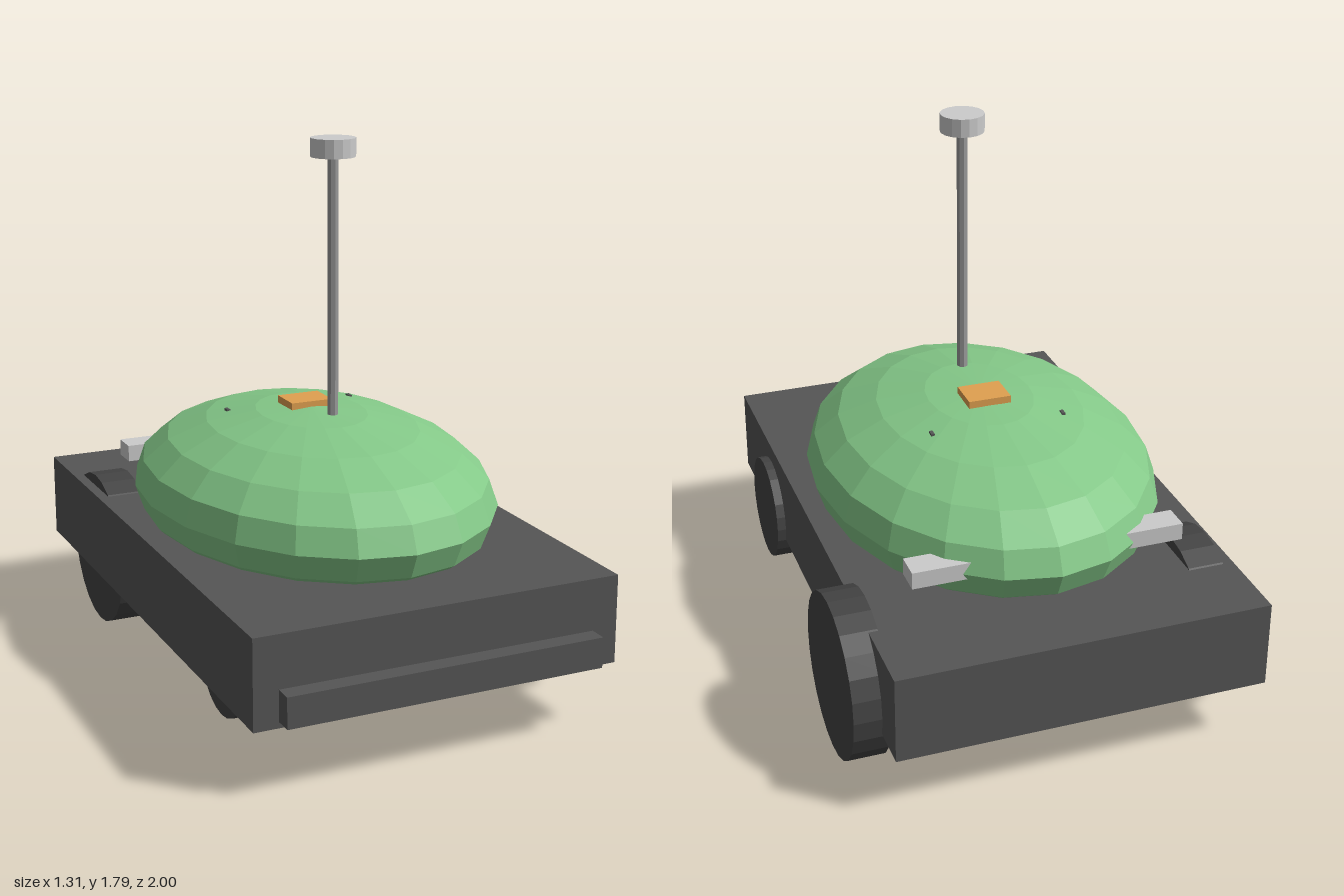
import * as THREE from 'three';

const mat = (color) => new THREE.MeshStandardMaterial({ color, flatShading: true });

export function createModel() {
  const model = new THREE.Group();
  model.name = 'wheeledRobot';

  const bodyMat = mat(0x555555);
  const wheelMat = mat(0x444444);
  const shellMat = mat(0x84c888);
  const orangeMat = mat(0xe0a050);
  const poleMat = mat(0x999999);
  const greyMat = mat(0xcccccc);

  const add = (name, geometry, material) => {
    const mesh = new THREE.Mesh(geometry, material);
    mesh.name = name;
    model.add(mesh);
    return mesh;
  };

  // Box given by its lower and upper limits on each axis
  const box = (name, [x0, x1], [y0, y1], [z0, z1], material) => {
    const mesh = add(name, new THREE.BoxGeometry(x1 - x0, y1 - y0, z1 - z0), material);
    mesh.position.set((x0 + x1) / 2, (y0 + y1) / 2, (z0 + z1) / 2);
    return mesh;
  };

  // Wheel with its axle along x
  const wheel = (name, [x0, x1], y, z, radius) => {
    const geometry = new THREE.CylinderGeometry(radius, radius, x1 - x0, 24);
    geometry.rotateZ(Math.PI / 2);
    add(name, geometry, wheelMat).position.set((x0 + x1) / 2, y, z);
  };

  // Chassis and front bumper
  box('chassis', [-0.655, 0.565], [0.21, 0.5], [-1, 0.94], bodyMat);
  box('frontBumper', [-0.575, 0.48], [0.23, 0.33], [0.92, 1], bodyMat);

  // Large rear wheels, small front wheels
  wheel('rearLeftWheel', [0.535, 0.655], 0.27, -0.595, 0.27);
  wheel('rearRightWheel', [-0.62, -0.5], 0.27, -0.595, 0.27);
  wheel('frontLeftWheel', [0.495, 0.595], 0.257, 0.512, 0.182);
  wheel('frontRightWheel', [-0.585, -0.49], 0.257, 0.512, 0.182);

  // Faceted shell, sunk into the chassis
  const shellX = -0.045;
  const shell = add('shell', new THREE.SphereGeometry(1, 20, 10).scale(0.573, 0.275, 0.777), shellMat);
  shell.position.set(shellX, 0.6, -0.006);

  // Bar through the back of the shell
  box('rearCrossbar', [-0.5, 0.405], [0.58, 0.637], [-0.67, -0.578], greyMat);

  // Orange plate on the crown
  box('crownPlate', [-0.118, 0.028], [0.868, 0.893], [-0.117, 0.002], orangeMat);

  // Small studs barely breaking the shell surface
  for (const side of [-1, 1]) {
    const x = shellX + side * 0.228;
    box(side > 0 ? 'leftStud' : 'rightStud', [x - 0.006, x + 0.006], [0.81, 0.845], [-0.205, -0.18], bodyMat);
  }

  // Mast with its sensor cap
  const mastZ = 0.165;
  add('mast', new THREE.CylinderGeometry(0.019, 0.019, 0.85, 8), poleMat).position.set(shellX, 1.315, mastZ);
  add('mastCap', new THREE.CylinderGeometry(0.073, 0.073, 0.06, 16), greyMat).position.set(shellX, 1.76, mastZ);

  return model;
}
